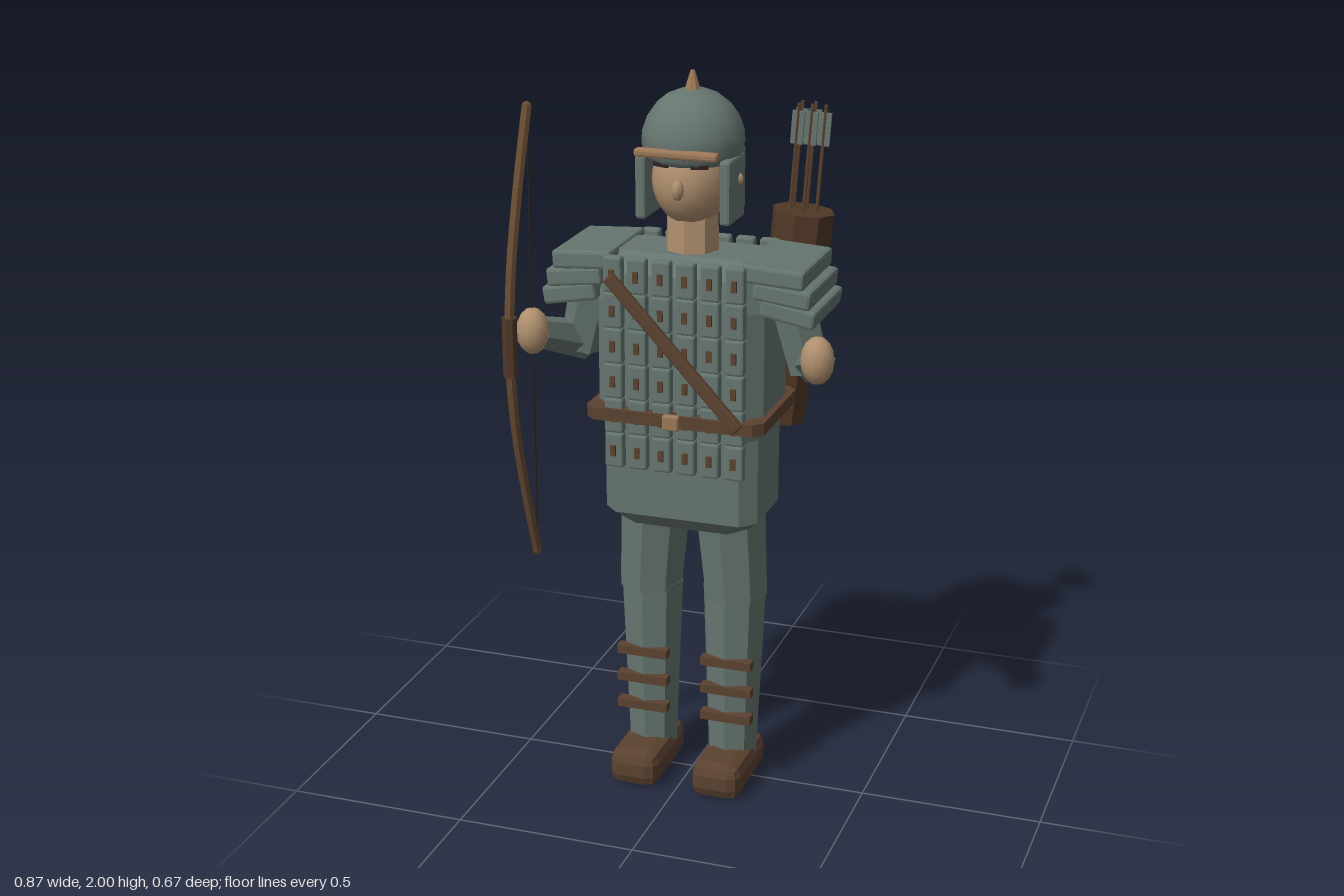
import * as THREE from 'three';
import { RoundedBoxGeometry } from 'three/addons/geometries/RoundedBoxGeometry.js';

const mat = (name, color) => {
  const m = new THREE.MeshStandardMaterial({ color });
  m.name = name;
  return m;
};
const V = (x, y, z) => new THREE.Vector3(x, y, z);

// Facet a geometry so every face is flat
function flat(geo) {
  const g = geo.index ? geo.toNonIndexed() : geo;
  g.computeVertexNormals();
  return g;
}

// Stack of chamfered rectangles: each ring is [y, halfX, halfZ, chamfer]
function loft(rings) {
  const pos = [], idx = [], n = 8;
  for (const [y, x, z, c] of rings) {
    const pts = [[x, z - c], [x - c, z], [c - x, z], [-x, z - c], [-x, c - z], [c - x, -z], [x - c, -z], [x, c - z]];
    pts.forEach(([px, pz]) => pos.push(px, y, pz));
  }
  const top = (rings.length - 1) * n;
  for (let r = 0; r < top; r += n) {
    for (let i = 0; i < n; i++) {
      const a = r + i, b = r + (i + 1) % n;
      idx.push(a, a + n, b, b, a + n, b + n);
    }
  }
  for (let i = 1; i < n - 1; i++) {
    idx.push(0, i, i + 1);
    idx.push(top, top + i + 1, top + i);
  }
  // Side rings run from +x towards +z, so reverse to face outward
  for (let t = 0; t < top * 6; t += 3) [idx[t + 1], idx[t + 2]] = [idx[t + 1], idx[t + 2]];
  const g = new THREE.BufferGeometry();
  g.setAttribute('position', new THREE.Float32BufferAttribute(pos, 3));
  g.setIndex(idx);
  return flat(g);
}

export function createModel() {
  const model = new THREE.Group();
  model.name = 'archer';
  const armor = mat('grey green armor', 0x66756f);
  const leather = mat('brown leather', 0x5b4230);
  const darkLeather = mat('dark leather', 0x503826);
  const wood = mat('bow wood', 0x684c33);
  const skin = mat('skin', 0xb0906f);
  const bronze = mat('bronze', 0x9c7858);
  const dark = mat('dark cord', 0x2a2320);

  const add = (name, geo, m, x = 0, y = 0, z = 0, parent = model) => {
    const mesh = new THREE.Mesh(geo, m);
    mesh.name = name;
    mesh.position.set(x, y, z);
    parent.add(mesh);
    return mesh;
  };
  const box = (w, h, d) => new THREE.BoxGeometry(w, h, d);
  const bevel = (w, h, d, r) => flat(new RoundedBoxGeometry(w, h, d, 1, r));
  // Tapered prism from point a to point b
  const limb = (name, a, b, ra, rb, sides, m) => {
    const d = b.clone().sub(a);
    const mid = a.clone().add(b).multiplyScalar(0.5);
    const mesh = add(name, flat(new THREE.CylinderGeometry(rb, ra, d.length(), sides)), m, mid.x, mid.y, mid.z);
    mesh.quaternion.setFromUnitVectors(V(0, 1, 0), d.normalize());
    return mesh;
  };

  // Tunic and torso
  add('tunicSkirt', loft([[0.77, 0.17, 0.1, 0.04], [0.81, 0.215, 0.135, 0.04], [1.08, 0.215, 0.138, 0.04]]), armor);
  add('torso', loft([[1.04, 0.215, 0.135, 0.04], [1.1, 0.23, 0.14, 0.04], [1.4, 0.23, 0.138, 0.04],
    [1.48, 0.215, 0.128, 0.04], [1.53, 0.195, 0.08, 0.03]]), armor);

  // Laced armor plates, front and back
  const plate = bevel(0.052, 0.098, 0.03, 0.007);
  const lace = box(0.014, 0.03, 0.012);
  for (const side of [1, -1]) {
    const plates = new THREE.Group();
    plates.name = side > 0 ? 'frontPlates' : 'backPlates';
    model.add(plates);
    for (let row = 0; row < 6; row++) {
      for (let col = 0; col < 6; col++) {
        const x = (col - 2.5) * 0.067, y = 1.483 - row * 0.097;
        add('plate', plate, armor, x, y, side * 0.148, plates);
        add('lace', lace, leather, x, y, side * 0.164, plates);
      }
    }
  }

  // Belt, buckle and chest strap
  add('belt', loft([[1.083, 0.247, 0.168, 0.025], [1.117, 0.247, 0.168, 0.025]]), leather, 0, 0, 0.005);
  add('buckle', bevel(0.046, 0.042, 0.02, 0.005), bronze, 0, 1.1, 0.178);
  const strap = add('chestStrap', bevel(0.525, 0.035, 0.022, 0.006), leather, 0.005, 1.29, 0.174);
  strap.rotation.z = -0.82;

  // Paired limbs
  for (const s of [1, -1]) {
    const side = s > 0 ? 'left' : 'right';

    // Overlapping shoulder plates
    [[0.262, 1.508, 0.165], [0.285, 1.46, 0.155], [0.3, 1.413, 0.15]].forEach(([x, y, w], i) => {
      const pad = add(side + 'ShoulderPlate', bevel(w, 0.05, 0.275 - i * 0.004, 0.009), armor, s * x, y, 0.004);
      pad.rotation.z = -s * 0.06 * (i + 1);
    });

    // Arms bent forward at the elbow
    limb(side + 'UpperArm', V(s * 0.265, 1.46, 0), V(s * 0.322, 1.225, -0.008), 0.068, 0.058, 6, armor);
    limb(side + 'Forearm', V(s * 0.325, 1.235, -0.03), V(s * 0.388, 1.3, 0.14), 0.056, 0.044, 6, armor);
    add(side + 'Hand', new THREE.SphereGeometry(1, 12, 8), skin, s * 0.392, 1.31, 0.165).scale.set(0.045, 0.064, 0.045);

    // Legs with shin wraps and boots
    const thigh = limb(side + 'Thigh', V(s * 0.124, 0.56, -0.005), V(s * 0.104, 0.86, 0), 0.095, 0.108, 8, armor);
    thigh.scale.x = 0.95;
    limb(side + 'Shin', V(s * 0.118, 0.08, 0), V(s * 0.12, 0.57, -0.005), 0.07, 0.09, 8, armor);
    for (const y of [0.21, 0.292, 0.375]) {
      add(side + 'ShinWrap', box(0.145, 0.025, 0.03), leather, s * 0.122, y, 0.068);
    }
    add(side + 'Boot', bevel(0.142, 0.105, 0.275, 0.034), leather, s * 0.12, 0.0525, 0.042);
  }

  // Head and face
  add('neck', flat(new THREE.CylinderGeometry(0.07, 0.074, 0.16, 8)), skin, 0, 1.58, 0);
  add('head', new THREE.SphereGeometry(1, 16, 12), skin, 0, 1.72, 0.005).scale.set(0.104, 0.125, 0.115);
  add('nose', new THREE.SphereGeometry(1, 8, 6), skin, 0, 1.712, 0.12).scale.set(0.017, 0.028, 0.02);
  for (const s of [1, -1]) {
    add('eye', box(0.045, 0.011, 0.009), dark, s * 0.052, 1.771, 0.1).rotation.y = s * 0.35;
    add('ear', new THREE.SphereGeometry(0.018, 8, 6), skin, s * 0.122, 1.725, 0.002);
    add('cheekGuard', bevel(0.03, 0.17, 0.13, 0.008), armor, s * 0.115, 1.703, 0.023);
  }

  // Helmet
  const dome = [[0, 0.135], [0.035, 0.13], [0.068, 0.117], [0.098, 0.093], [0.12, 0.062], [0.133, 0.025],
    [0.135, -0.005], [0.129, -0.035], [0.12, -0.05], [0, -0.05]];
  add('helmetDome', new THREE.LatheGeometry(dome.map(([r, y]) => new THREE.Vector2(r, y)).reverse(), 16),
    armor, 0, 1.82, -0.005);
  add('helmetSpike', flat(new THREE.CylinderGeometry(0.006, 0.025, 0.06, 8)), bronze, 0, 1.97, 0);
  add('helmetBrim', bevel(0.225, 0.022, 0.03, 0.007), bronze, 0, 1.807, 0.129);
  add('neckGuard', bevel(0.215, 0.17, 0.04, 0.008), armor, 0, 1.703, -0.1);

  // Quiver and arrows
  limb('quiver', V(0.175, 1.0, -0.225), V(0.23, 1.59, -0.25), 0.072, 0.086, 8, darkLeather);
  for (const [x, z] of [[0.215, -0.243], [0.252, -0.243], [0.289, -0.243], [0.215, -0.276], [0.252, -0.276]]) {
    limb('arrowShaft', V(x - 0.028, 1.5, z), V(x, 1.88, z), 0.005, 0.005, 6, leather);
    add('fletching', box(0.034, 0.09, 0.006), armor, x - 0.004, 1.815, z).rotation.z = -0.07;
  }

  // Bow, grip and string
  const bow = new THREE.CatmullRomCurve3([[1.912, 0.167], [1.72, 0.237], [1.5, 0.298], [1.3, 0.318],
    [1.1, 0.298], [0.88, 0.237], [0.682, 0.167]].map(([y, z]) => V(-0.393, y, z)));
  add('bowLimbs', flat(new THREE.TubeGeometry(bow, 24, 0.014, 6)), wood);
  for (const t of [0, 1]) {
    const p = bow.getPoint(t);
    add('bowTip', new THREE.SphereGeometry(0.014, 8, 6), wood, p.x, p.y, p.z);
  }
  add('bowGrip', flat(new THREE.CylinderGeometry(0.021, 0.021, 0.16, 8)), darkLeather, -0.393, 1.31, 0.315);
  add('bowString', new THREE.CylinderGeometry(0.003, 0.003, 1.22, 5), dark, -0.393, 1.297, 0.165);

  return model;
}
